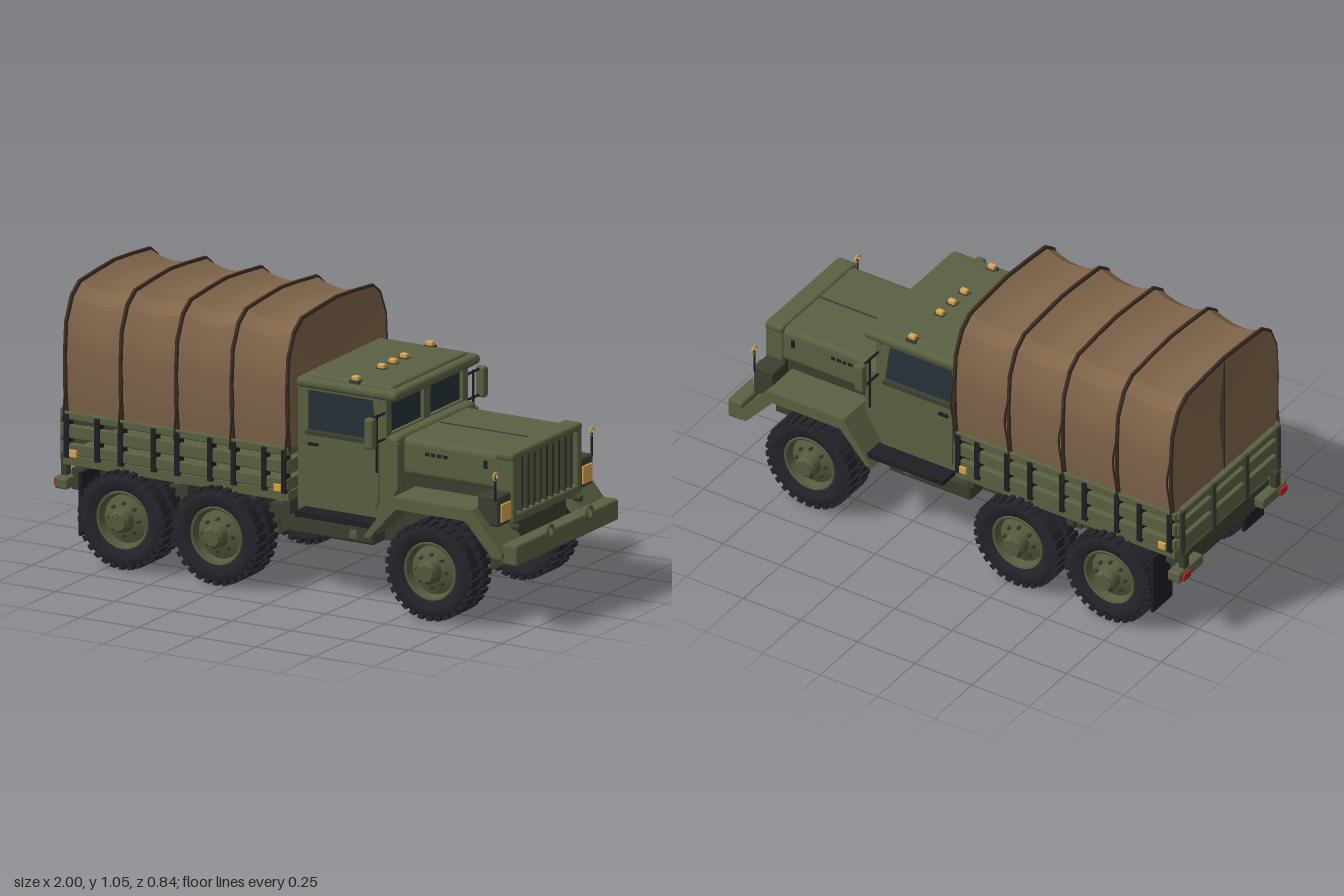
import * as THREE from 'three';
import { toCreasedNormals } from 'three/addons/utils/BufferGeometryUtils.js';
import { RoundedBoxGeometry } from 'three/addons/geometries/RoundedBoxGeometry.js';

const mat = (color, side = THREE.FrontSide) => new THREE.MeshStandardMaterial({ color, side });
const M = {
  olive: mat(0x5a6142), dark: mat(0x3a4030), black: mat(0x1f1e24), rubber: mat(0x25242b, THREE.DoubleSide),
  rim: mat(0x565d3f, THREE.DoubleSide), cloth: mat(0x80654a, THREE.DoubleSide), strap: mat(0x3b2d22, THREE.DoubleSide),
  glass: mat(0x27323a), amber: mat(0xdca552), red: mat(0x9c2a22),
};

function add(parent, name, geo, material, x = 0, y = 0, z = 0) {
  const m = new THREE.Mesh(geo, material);
  m.name = name;
  m.position.set(x, y, z);
  parent.add(m);
  return m;
}
// Box given by its limits, optionally with rounded edges
function box(p, name, m, x0, x1, y0, y1, z0, z1, r = 0) {
  const s = [x1 - x0, y1 - y0, z1 - z0];
  const g = r ? new RoundedBoxGeometry(...s, 2, r) : new THREE.BoxGeometry(...s);
  return add(p, name, g, m, (x0 + x1) / 2, (y0 + y1) / 2, (z0 + z1) / 2);
}
// The same box on both sides
function pair(p, name, m, x0, x1, y0, y1, z0, z1, r = 0) {
  box(p, name, m, x0, x1, y0, y1, z0, z1, r);
  box(p, name, m, x0, x1, y0, y1, -z1, -z0, r);
}
function cyl(p, name, m, r, len, axis, x, y, z, n = 16) {
  const g = new THREE.CylinderGeometry(r, r, len, n);
  if (axis === 'x') g.rotateZ(Math.PI / 2);
  if (axis === 'z') g.rotateX(Math.PI / 2);
  return add(p, name, g, m, x, y, z);
}
const shapeOf = pts => new THREE.Shape(pts.map(p => new THREE.Vector2(...p)));
// Side profile (x, y) extruded from z0 to z1
function plate(p, name, m, pts, z0, z1, holes = []) {
  const s = shapeOf(pts);
  holes.forEach(h => s.holes.push(shapeOf(h)));
  return add(p, name, new THREE.ExtrudeGeometry(s, { depth: z1 - z0, bevelEnabled: false }), m, 0, 0, z0);
}
// Skin over rows of points, creased where it bends sharply
function loft(rows, capped) {
  const n = rows[0].length, pos = rows.flat(2), idx = [];
  for (let i = 0; i < rows.length - 1; i++) for (let j = 0; j < n - 1; j++) {
    const a = i * n + j, b = a + n;
    idx.push(a, b, a + 1, b, b + 1, a + 1);
  }
  if (capped) [0, rows.length - 1].forEach((r, end) => {
    const c = pos.length / 3, q = r * n;
    pos.push(rows[r][0][0] + (end ? -0.03 : 0.02), 0.76, 0);
    for (let j = 0; j < n; j++) {
      const a = q + j, b = q + (j + 1) % n;
      idx.push(...(end ? [c, b, a] : [c, a, b]));
    }
  });
  const g = new THREE.BufferGeometry();
  g.setAttribute('position', new THREE.Float32BufferAttribute(pos, 3));
  g.setIndex(idx);
  return toCreasedNormals(g, 0.45);
}

function makeWheel() {
  const w = new THREE.Group();
  w.name = 'wheel';
  const lathe = (name, m, pts) => add(w, name, toCreasedNormals(new THREE.LatheGeometry(
    pts.map(p => new THREE.Vector2(...p)), 40).rotateX(Math.PI / 2), 0.6), m);
  lathe('tyre', M.rubber, [[0.105, -0.05], [0.14, -0.07], [0.165, -0.07], [0.176, -0.062], [0.176, -0.012], [0.162, -0.01],
    [0.162, 0.01], [0.176, 0.012], [0.176, 0.062], [0.165, 0.07], [0.14, 0.072], [0.105, 0.055]]);
  lathe('rim', M.rim, [[0.105, -0.05], [0.1, -0.04], [0.1, 0.0], [0.112, 0.058], [0.108, 0.063], [0.1, 0.06], [0.092, 0.03],
    [0.06, 0.045], [0.045, 0.05], [0.042, 0.085], [0.03, 0.098], [0, 0.098]]);
  // Tread blocks, staggered between the two halves
  const lug = new THREE.BoxGeometry(0.016, 0.025, 0.056);
  for (let i = 0; i < 60; i++) {
    const a = i * Math.PI / 30, s = i % 2 ? 1 : -1;
    const l = add(w, 'treadBlock', lug, M.rubber, Math.cos(a) * 0.1755, Math.sin(a) * 0.1755, s * 0.041);
    l.rotation.z = a - Math.PI / 2;
    l.scale.set(1.35, 0.8, 1);
  }
  for (let i = 0; i < 8; i++) {
    const a = i * Math.PI / 4;
    cyl(w, 'wheelNut', M.dark, 0.007, 0.02, 'z', Math.cos(a) * 0.062, Math.sin(a) * 0.062, 0.048, 6);
    cyl(w, 'hubBolt', M.rim, 0.004, 0.01, 'z', Math.cos(a) * 0.03, Math.sin(a) * 0.03, 0.098, 6);
  }
  return w;
}

function addChassis(g) {
  pair(g, 'chassisRail', M.dark, -0.93, 0.88, 0.22, 0.29, 0.16, 0.2);
  [-0.9, -0.49, -0.1, 0.3, 0.82].forEach(x => box(g, 'crossMember', M.dark, x - 0.02, x + 0.02, 0.225, 0.28, -0.17, 0.17));
  for (const x of [0.62, -0.29, -0.69]) {
    cyl(g, 'axle', M.black, 0.03, 0.5, 'z', x, 0.185, 0);
    box(g, 'differential', M.olive, x - 0.07, x + 0.07, 0.115, 0.24, -0.055, 0.055, 0.015);
    pair(g, 'leafSpring', M.dark, x - 0.17, x + 0.17, 0.215, 0.24, 0.175, 0.21);
    for (const s of [1, -1]) {
      const w = makeWheel();
      w.position.set(x, 0.187, s * 0.315);
      if (s < 0) w.rotation.y = Math.PI;
      g.add(w);
    }
  }
  cyl(g, 'driveShaft', M.black, 0.02, 1.3, 'x', -0.03, 0.19, 0);
  box(g, 'gearbox', M.dark, 0.05, 0.3, 0.2, 0.32, -0.09, 0.09, 0.02);
  pair(g, 'sideTank', M.dark, -0.03, 0.33, 0.22, 0.29, 0.2, 0.29, 0.012);
  pair(g, 'step', M.black, 0.04, 0.37, 0.31, 0.33, 0.28, 0.37);
  pair(g, 'tankCap', M.olive, 0.23, 0.26, 0.24, 0.27, 0.29, 0.297);
  // Bumper with towing rings
  box(g, 'frontBumper', M.olive, 0.92, 0.985, 0.255, 0.335, -0.365, 0.365, 0.01);
  pair(g, 'bumperBracket', M.dark, 0.86, 0.93, 0.25, 0.3, 0.16, 0.2);
  for (const s of [1, -1]) {
    add(g, 'towRing', new THREE.TorusGeometry(0.022, 0.007, 8, 20), M.olive, 0.99, 0.34, s * 0.14).rotation.y = Math.PI / 2;
    cyl(g, 'markerRod', M.black, 0.004, 0.09, 'y', 0.88, 0.53, s * 0.345, 8);
    add(g, 'markerRing', new THREE.TorusGeometry(0.014, 0.004, 8, 16), M.amber, 0.88, 0.58, s * 0.345).rotation.y = Math.PI / 2;
  }
  pair(g, 'rearBumper', M.olive, -0.99, -0.935, 0.262, 0.305, 0.2, 0.36, 0.008);
  box(g, 'rearCrossBeam', M.dark, -0.95, -0.91, 0.25, 0.33, -0.3, 0.3);
  pair(g, 'tailLight', M.red, -1, -0.985, 0.27, 0.297, 0.3, 0.345);
  pair(g, 'tailLightBracket', M.dark, -0.985, -0.96, 0.3, 0.37, 0.29, 0.32);
  pair(g, 'mudFlap', M.black, -0.88, -0.868, 0.1, 0.34, 0.24, 0.37);
}

function addNose(g) {
  box(g, 'engineBay', M.dark, 0.36, 0.85, 0.29, 0.52, -0.215, 0.215);
  box(g, 'hood', M.olive, 0.4, 0.85, 0.49, 0.635, -0.24, 0.24, 0.025);
  box(g, 'hoodSeam', M.dark, 0.44, 0.82, 0.63, 0.638, -0.003, 0.003);
  for (let i = 0; i < 4; i++) pair(g, 'hoodVent', M.black, 0.52 + i * 0.025, 0.538 + i * 0.025, 0.58, 0.593, 0.235, 0.242);
  pair(g, 'hoodLatch', M.black, 0.77, 0.785, 0.57, 0.6, 0.235, 0.246);
  // Grille with a frame and upright bars
  box(g, 'grilleCore', M.black, 0.82, 0.875, 0.4, 0.63, -0.225, 0.225);
  box(g, 'grilleTop', M.olive, 0.82, 0.9, 0.613, 0.643, -0.25, 0.25, 0.012);
  box(g, 'grilleBottom', M.olive, 0.82, 0.9, 0.375, 0.41, -0.245, 0.245, 0.01);
  pair(g, 'grilleSide', M.olive, 0.82, 0.9, 0.38, 0.635, 0.215, 0.245, 0.01);
  for (let i = 0; i < 9; i++) box(g, 'grilleBar', M.dark, 0.875, 0.893, 0.405, 0.618, -0.181 + i * 0.044, -0.171 + i * 0.044);
  pair(g, 'headlightHousing', M.dark, 0.8, 0.89, 0.385, 0.5, 0.245, 0.34, 0.01);
  pair(g, 'headlight', M.amber, 0.88, 0.897, 0.4, 0.47, 0.258, 0.326, 0.004);
  // Angular fenders
  const outline = [[0.34, 0.28], [0.365, 0.28], [0.48, 0.405], [0.775, 0.405], [0.89, 0.28], [0.93, 0.28],
    [0.93, 0.3], [0.8, 0.45], [0.465, 0.45]];
  for (const s of [1, -1]) {
    plate(g, 'fender', M.olive, outline, s > 0 ? 0.21 : -0.385, s > 0 ? 0.385 : -0.21);
    cyl(g, 'fenderStay', M.dark, 0.012, 0.12, 'x', 0.85, 0.36, s * 0.22, 8);
  }
}

function addCab(g) {
  const door = [[0.01, 0.33], [0.36, 0.33], [0.43, 0.45], [0.43, 0.62], [0.375, 0.645], [0.355, 0.8], [0.01, 0.8]];
  const win = [[0.05, 0.62], [0.345, 0.62], [0.325, 0.775], [0.05, 0.775]];
  for (const s of [1, -1]) {
    const z = (a, b) => (s > 0 ? [a, b] : [-b, -a]);
    plate(g, 'cabSide', M.olive, door, ...z(0.265, 0.29), [win]);
    plate(g, 'sideWindow', M.glass, win, ...z(0.272, 0.28));
    plate(g, 'doorPanel', M.olive, [[0.045, 0.36], [0.34, 0.36], [0.355, 0.4], [0.355, 0.61], [0.045, 0.61]], ...z(0.285, 0.3));
    // Mirror on its two arms
    box(g, 'mirror', M.olive, 0.36, 0.4, 0.625, 0.742, ...z(0.382, 0.415), 0.01);
    for (const y of [0.635, 0.733]) cyl(g, 'mirrorArm', M.black, 0.005, 0.12, 'z', 0.375, y, s * 0.335, 8);
    cyl(g, 'mirrorStay', M.black, 0.005, 0.22, 'y', 0.375, 0.63, s * 0.345, 8);
  }
  pair(g, 'doorHandle', M.black, 0.06, 0.1, 0.57, 0.58, 0.3, 0.31);
  pair(g, 'windowFrame', M.dark, 0.045, 0.35, 0.608, 0.622, 0.28, 0.302);
  box(g, 'cabFloor', M.dark, 0.01, 0.4, 0.32, 0.345, -0.28, 0.28);
  box(g, 'cabBack', M.olive, 0.005, 0.03, 0.3, 0.8, -0.285, 0.285);
  box(g, 'seat', M.black, 0.03, 0.2, 0.34, 0.47, -0.25, 0.25, 0.02);
  box(g, 'cowl', M.olive, 0.36, 0.43, 0.46, 0.645, -0.285, 0.285, 0.02);
  // Split windscreen
  const pane = s => [[s * 0.022, 0.65], [s * 0.255, 0.65], [s * 0.255, 0.777], [s * 0.022, 0.777]];
  const frame = plate(g, 'windscreenFrame', M.olive, [[-0.29, 0.62], [0.29, 0.62], [0.29, 0.8], [-0.29, 0.8]], 0, 0.025, [pane(1), pane(-1)]);
  frame.rotation.y = Math.PI / 2;
  frame.position.set(0.36, 0, 0);
  box(g, 'windscreen', M.glass, 0.362, 0.37, 0.645, 0.78, -0.26, 0.26);
  box(g, 'roof', M.olive, 0.003, 0.435, 0.782, 0.822, -0.305, 0.305, 0.018);
  box(g, 'roofCrown', M.olive, 0.02, 0.4, 0.8, 0.832, -0.27, 0.27, 0.014);
  for (const z of [-0.265, -0.08, 0, 0.08, 0.265]) {
    box(g, 'roofLightBase', M.dark, 0.22, 0.26, 0.82, 0.834, z - 0.016, z + 0.016);
    box(g, 'roofLight', M.amber, 0.225, 0.255, 0.832, 0.85, z - 0.011, z + 0.011, 0.005);
  }
}

function addBed(g) {
  box(g, 'bedFloor', M.olive, -0.96, 0, 0.355, 0.39, -0.345, 0.345);
  for (let i = 0; i < 7; i++) box(g, 'floorBeam', M.dark, -0.92 + i * 0.145, -0.89 + i * 0.145, 0.29, 0.356, -0.3, 0.3);
  // Slatted sides, headboard and tailgate
  for (const [y0, y1] of [[0.395, 0.44], [0.458, 0.51], [0.528, 0.56]]) {
    pair(g, 'sideSlat', M.olive, -0.965, 0, y0, y1, 0.33, 0.352, 0.006);
    box(g, 'tailgateSlat', M.olive, -0.975, -0.95, y0, y1, -0.34, 0.34, 0.006);
    box(g, 'headboardSlat', M.olive, -0.02, 0, y0, y1, -0.34, 0.34);
  }
  for (const x of [-0.94, -0.81, -0.71, -0.57, -0.47, -0.33, -0.23, -0.1, -0.015])
    pair(g, 'stake', M.black, x - 0.01, x + 0.01, 0.385, 0.55, 0.322, 0.358);
  for (const z of [-0.32, -0.11, 0.11, 0.32]) box(g, 'tailgateStake', M.dark, -0.98, -0.945, 0.37, 0.56, z - 0.012, z + 0.012);
  pair(g, 'sideMarker', M.amber, -0.925, -0.895, 0.392, 0.418, 0.35, 0.362);
  pair(g, 'sideMarker', M.amber, -0.055, -0.025, 0.392, 0.418, 0.35, 0.362);
}

function addCanopy(g) {
  const half = [[0.34, 0.545], [0.352, 0.65], [0.354, 0.78], [0.346, 0.9], [0.305, 0.99], [0.25, 1.03], [0.12, 1.042]];
  const profile = [...half, [0, 1.05], ...half.map(([z, y]) => [-z, y]).reverse()];
  // Cross-section at x, drawn in by sag, puffed out by grow
  const ring = (x, sag, grow = 0) => profile.map(([z, y]) => {
    const up = Math.max(0, (y - 0.56) / 0.49);
    return [x, y - sag * up + grow * up, z * (1 - sag * 0.5 * up) + Math.sign(z) * grow];
  });
  const rows = [];
  for (let i = 0; i <= 24; i++) rows.push(ring(-0.95 + i * 0.95 / 24, 0.032 * Math.sin(Math.PI * (i % 6) / 6)));
  add(g, 'canopy', loft(rows, true), M.cloth);
  for (let i = 0; i <= 4; i++) {
    const x = -0.947 + i * 0.2365;
    add(g, 'canopyStrap', loft([ring(x - 0.009, 0.004), ring(x - 0.005, 0, 0.005), ring(x + 0.005, 0, 0.005), ring(x + 0.009, 0.004)]), M.strap);
    // Rope ends hanging at the hoops
    for (const s of [1, -1]) {
      const rope = new THREE.CatmullRomCurve3([[0, 0.8, 0.357], [0.012, 0.7, 0.362], [0, 0.6, 0.36], [-0.006, 0.52, 0.358]]
        .map(([dx, y, z]) => new THREE.Vector3(x + dx, y, s * z)));
      add(g, 'rope', new THREE.TubeGeometry(rope, 12, 0.004, 6), M.strap);
    }
  }
  box(g, 'rearFlapSeam', M.strap, -0.95, -0.93, 0.55, 1.03, -0.004, 0.004);
}

export function createModel() {
  const truck = new THREE.Group();
  truck.name = 'cargoTruck';
  for (const [name, build] of Object.entries({ chassis: addChassis, nose: addNose, cab: addCab, bed: addBed, canopy: addCanopy })) {
    const part = new THREE.Group();
    part.name = name;
    build(part);
    truck.add(part);
  }
  return truck;
}
